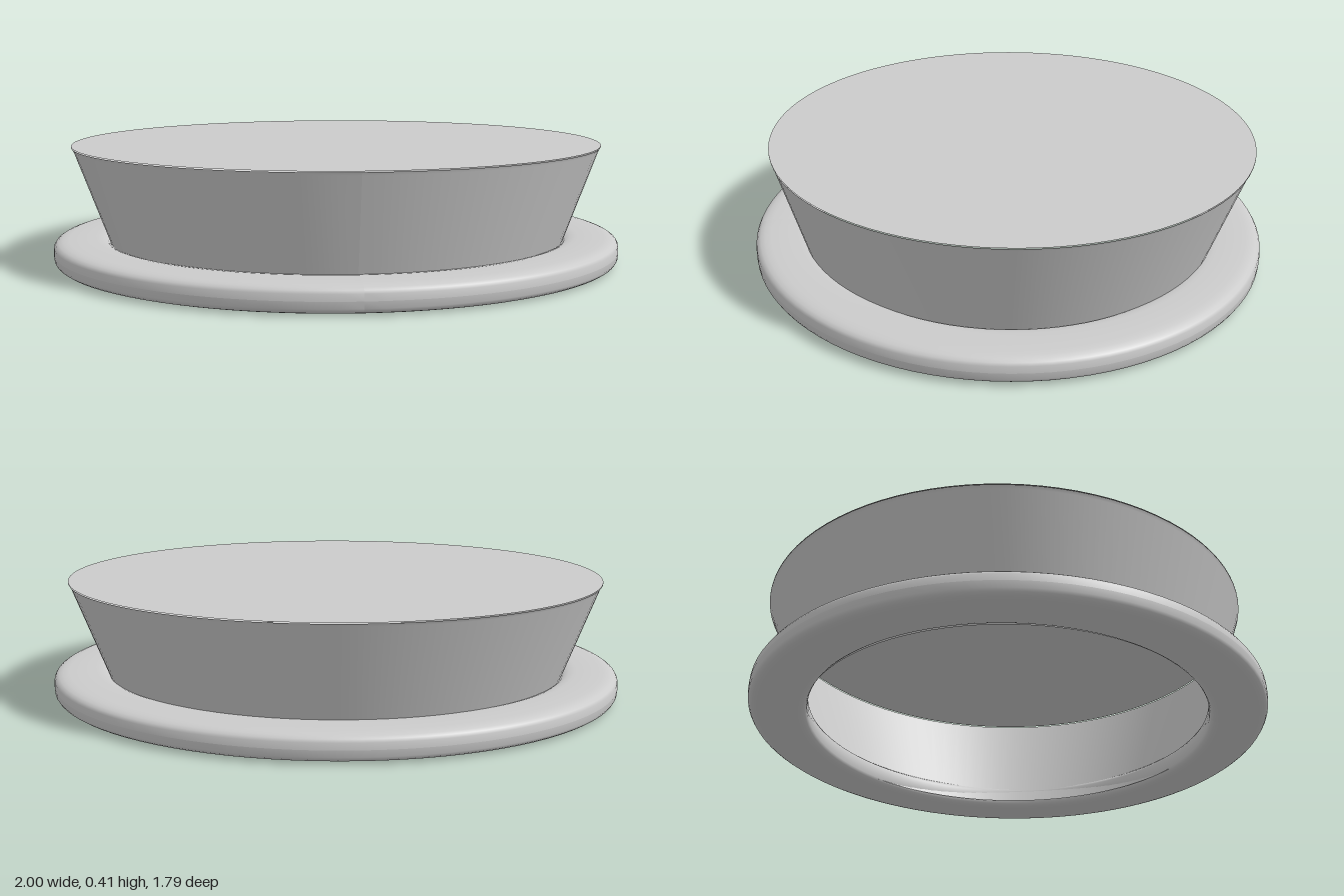
import * as THREE from 'three';

const SEGMENTS = 96;

// Skin a list of elliptical loops { a, b, y, z } (half width, half depth, height, shift).
function loft(loops) {
  const positions = [], uvs = [], index = [];
  const row = SEGMENTS + 1;
  loops.forEach((l, j) => {
    for (let i = 0; i <= SEGMENTS; i++) {
      const t = ((i % SEGMENTS) / SEGMENTS) * Math.PI * 2;
      positions.push(l.a * Math.sin(t), l.y, l.b * Math.cos(t) + (l.z || 0));
      uvs.push(i / SEGMENTS, j / (loops.length - 1));
    }
  });
  for (let j = 0; j < loops.length - 1; j++) {
    for (let i = 0; i < SEGMENTS; i++) {
      const p = j * row + i, q = p + row;
      index.push(p, p + 1, q, q, p + 1, q + 1);
    }
  }
  const geometry = new THREE.BufferGeometry();
  geometry.setAttribute('position', new THREE.Float32BufferAttribute(positions, 3));
  geometry.setAttribute('uv', new THREE.Float32BufferAttribute(uvs, 2));
  geometry.setIndex(index);
  geometry.computeVertexNormals();
  return geometry;
}

export function createModel() {
  const group = new THREE.Group();
  const material = new THREE.MeshStandardMaterial({ color: 0xcccccc, side: THREE.DoubleSide });
  const add = (name, geometry) => {
    const mesh = new THREE.Mesh(geometry, material);
    mesh.name = name;
    group.add(mesh);
    return mesh;
  };

  // Base ring: flattened, soft-cornered section swept round an oval
  const section = [];
  const steps = 24, halfWidth = 0.1, halfHeight = 0.046;
  const soften = (v) => Math.sign(v) * Math.pow(Math.abs(v), 0.55);
  for (let j = 0; j <= steps; j++) {
    const t = (j / steps) * Math.PI * 2;
    const r = halfWidth * soften(Math.cos(t));
    section.push({ a: 0.9 + r, b: 0.797 + r, y: halfHeight + halfHeight * soften(Math.sin(t)) });
  }
  add('baseRing', loft(section));

  // Flared wall: thin shell, open underneath
  add('flaredWall', loft([
    { a: 0.785, b: 0.71, y: 0.02, z: 0 },
    { a: 0.925, b: 0.838, y: 0.4, z: -0.014 },
    { a: 0.932, b: 0.843, y: 0.41, z: -0.015 },
  ]));

  // Flat lid closing the top of the wall
  const lid = new THREE.CircleGeometry(1, SEGMENTS);
  lid.rotateX(-Math.PI / 2);
  lid.scale(0.932, 1, 0.843);
  add('topPlate', lid).position.set(0, 0.413, -0.015);

  return group;
}
